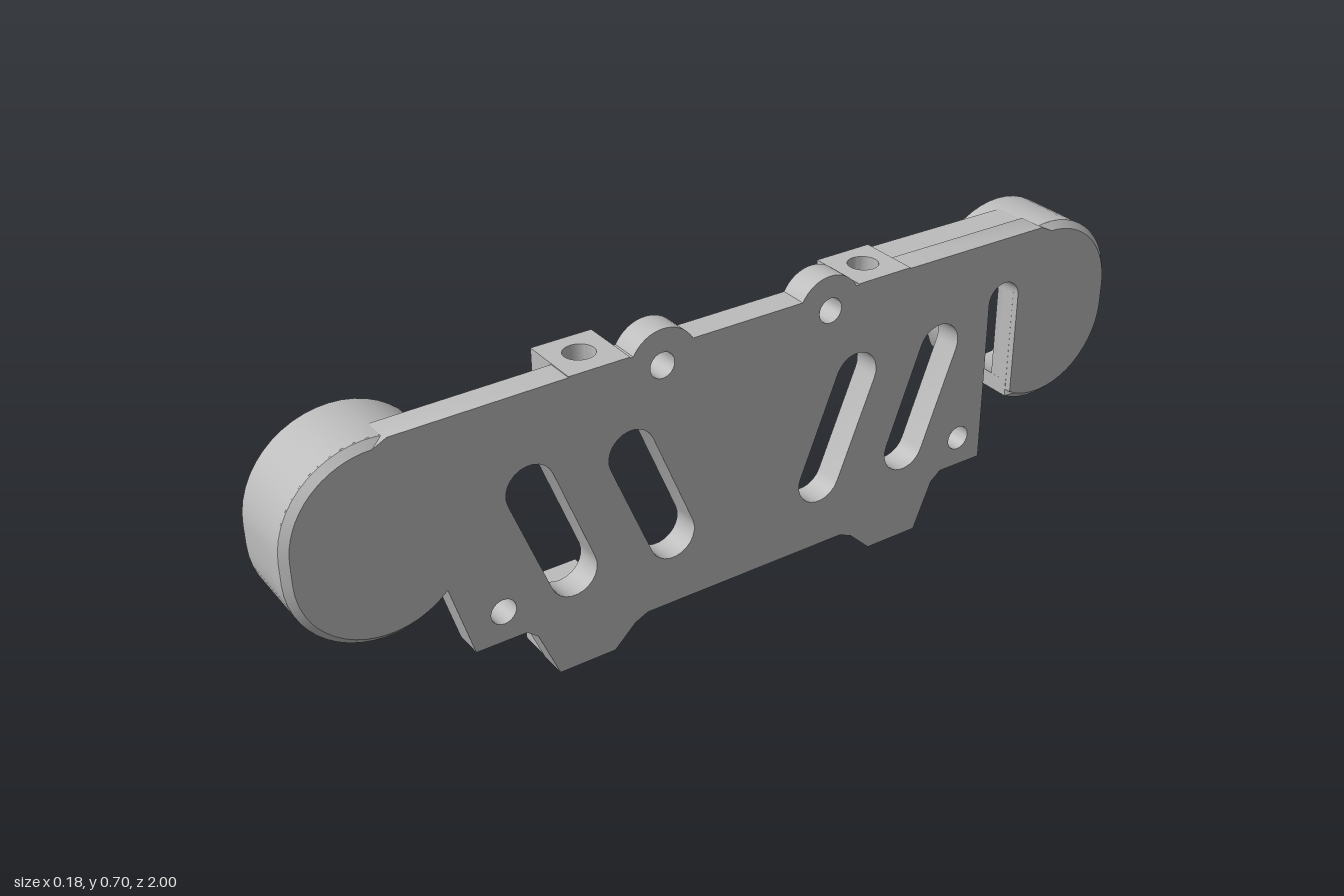
import * as THREE from 'three';
import { toCreasedNormals } from 'three/addons/utils/BufferGeometryUtils.js';

// Profiles are drawn in (u, y), where u = -z, and extruded along x.
const RAD = Math.PI / 180;
const END = 0.81, LOW = 0.42, HIGH = 0.465; // centres of the oval ends

function arc(cx, cy, r, from, to, n = 16) {
  return Array.from({ length: n + 1 }, (_, i) => {
    const a = (from + (to - from) * i / n) * RAD;
    return [cx + r * Math.cos(a), cy + r * Math.sin(a)];
  });
}
const toPoints = (list) => list.map(([x, y]) => new THREE.Vector2(x, y));
const mirror = (list) => list.map(([u, y]) => [-u, y]).reverse();

function makeShape(outline, holes = []) {
  const shape = new THREE.Shape(toPoints(outline));
  for (const h of holes) shape.holes.push(new THREE.Path(toPoints(h)));
  return shape;
}

// Rounded slot between two centres
function capsule(u0, y0, u1, y1, r) {
  const a = Math.atan2(y1 - y0, u1 - u0) / RAD;
  return [...arc(u1, y1, r, a - 90, a + 90, 12), ...arc(u0, y0, r, a + 90, a + 270, 12)];
}
const circle = (u, y, r) => arc(u, y, r, 0, 345, 23);

// Upright oval
const oval = (u, r) => [...arc(u, HIGH, r, 0, 180, 24), ...arc(u, LOW, r, 180, 360, 24)];

function roundedRect(u0, u1, y0, y1, r) {
  return [
    ...arc(u1 - r, y0 + r, r, -90, 0, 5), ...arc(u1 - r, y1 - r, r, 0, 90, 5),
    ...arc(u0 + r, y1 - r, r, 90, 180, 5), ...arc(u0 + r, y0 + r, r, 180, 270, 5),
  ];
}

export function createModel() {
  const model = new THREE.Group();
  model.name = 'sidePlateAssembly';
  const grey = new THREE.MeshStandardMaterial({ color: 0xbcbcbc });
  grey.name = 'plain grey';

  function add(name, geometry) {
    const mesh = new THREE.Mesh(toCreasedNormals(geometry, 0.5), grey);
    mesh.name = name;
    model.add(mesh);
  }

  // Extrude a (u, y) profile from x0 to x1, with an optional inward chamfer
  function across(name, shape, x0, x1, bevel = 0) {
    const g = new THREE.ExtrudeGeometry(shape, {
      depth: x1 - x0 - 2 * bevel, bevelEnabled: bevel > 0, bevelSegments: 1,
      bevelSize: bevel, bevelThickness: bevel, bevelOffset: -bevel,
    });
    g.translate(0, 0, x0 + bevel);
    g.rotateY(Math.PI / 2);
    add(name, g);
  }

  // Extrude an (x, u) rectangle upward with a drilled round hole
  function drilledBlock(name, x0, x1, u0, u1, y0, y1, hx, hu, r) {
    const rect = [[x0, u0], [x1, u0], [x1, u1], [x0, u1]];
    const g = new THREE.ExtrudeGeometry(makeShape(rect, [circle(hx, hu, r)]),
      { depth: y1 - y0, bevelEnabled: false });
    g.rotateX(-Math.PI / 2);
    g.translate(0, y0, 0);
    add(name, g);
  }

  // Main plate: feet, open rear slot, oval ends, notches and lugs on top
  const foot = [[0.25, 0.062], [0.28, 0.048], [0.33, 0], [0.46, 0],
    [0.505, 0.108], [0.53, 0.128], [0.642, 0.128]];
  const topHalf = [[0.78, 0.655], [0.41, 0.658], [0.41, 0.56], [0.275, 0.56], [0.275, 0.658],
    ...arc(0.2, 0.62, 0.078, 29, 151)];
  const outline = [
    [-0.69, 0.293], ...mirror(foot), ...foot,
    ...arc(0.683, 0.508, 0.042, 180, 0),
    ...arc(END, LOW, 0.175, -119, 0), ...arc(END, HIGH, 0.175, 0, 90),
    ...topHalf, ...mirror(topHalf),
    ...arc(-END, HIGH, 0.175, 90, 180), ...arc(-END, LOW, 0.175, 180, 313),
  ];
  const cutouts = [];
  for (const s of [-1, 1]) {
    cutouts.push(
      capsule(s * 0.503, 0.448, s * 0.418, 0.225, 0.053),
      capsule(s * 0.277, 0.448, s * 0.186, 0.225, 0.053),
      circle(s * 0.577, 0.197, 0.028),
      circle(s * 0.203, 0.62, 0.028));
  }
  across('mainPlate', makeShape(outline, cutouts), 0.025, 0.088);

  // Chamfered cup floors at both ends
  for (const s of [-1, 1]) {
    const floor = [...arc(END, LOW, 0.19, -116.6, 0), ...arc(END, HIGH, 0.19, 0, 116.6)];
    across(s < 0 ? 'frontCupFloor' : 'rearCupFloor',
      makeShape(s > 0 ? floor : mirror(floor)), 0.025, 0.088, 0.015);
  }

  // Cup walls: the front one is closed, the rear one is broken by the slot
  across('frontCupWall', makeShape(oval(-END, 0.19), [oval(-END, 0.157)]), -0.088, 0.073, 0.004);
  const brokenRing = [
    ...arc(END, LOW, 0.19, -116.6, 0), ...arc(END, HIGH, 0.19, 0, 180, 24),
    ...arc(END, LOW, 0.19, 180, 206.5, 5),
    ...arc(0.683, 0.508, 0.042, 180, 98, 8),
    ...arc(END, HIGH, 0.157, 148.7, 0, 20), ...arc(END, LOW, 0.157, 0, -123),
  ];
  across('rearCupWall', makeShape(brokenRing), -0.088, 0.073);

  for (const s of [-1, 1]) {
    const end = s < 0 ? 'front' : 'rear';
    const span = (a, b) => s > 0 ? [a, b] : [-b, -a];

    // Upper screw block
    const [a, b] = span(0.275, 0.41);
    drilledBlock(end + 'UpperBlock', -0.052, 0.088, a, b, 0.56, 0.66, 0.015, s * 0.343, 0.033);
    across(end + 'UpperBlockBase',
      makeShape([[a, 0.508], [b, 0.508], [b, 0.56], [a, 0.56]]), -0.052, 0.025);

    // Lower screw block with a chamfered outer top edge
    const [c, d] = span(0.335, 0.458);
    drilledBlock(end + 'LowerBlock', -0.052, 0.025, c, d, 0, 0.131, -0.012, s * 0.397, 0.02);
    const cap = [[0.335, 0.131], [0.458, 0.131], [0.443, 0.148], [0.335, 0.148]];
    across(end + 'LowerBlockCap', makeShape(s > 0 ? cap : mirror(cap)), -0.052, 0.025);
  }

  // Rear arm joining the upper block to the cup, with a stepped pocket
  const arm = [[0.41, 0.512], [0.63, 0.512], [0.652, 0.565], [0.675, 0.6],
    [0.72, 0.633], [0.78, 0.652], [0.41, 0.656]];
  across('rearArm', makeShape(arm, [roundedRect(0.43, 0.58, 0.535, 0.63, 0.02)]), -0.046, 0);
  across('rearArmInner', makeShape(arm, [roundedRect(0.445, 0.565, 0.55, 0.615, 0.015)]), 0, 0.025);

  return model;
}
